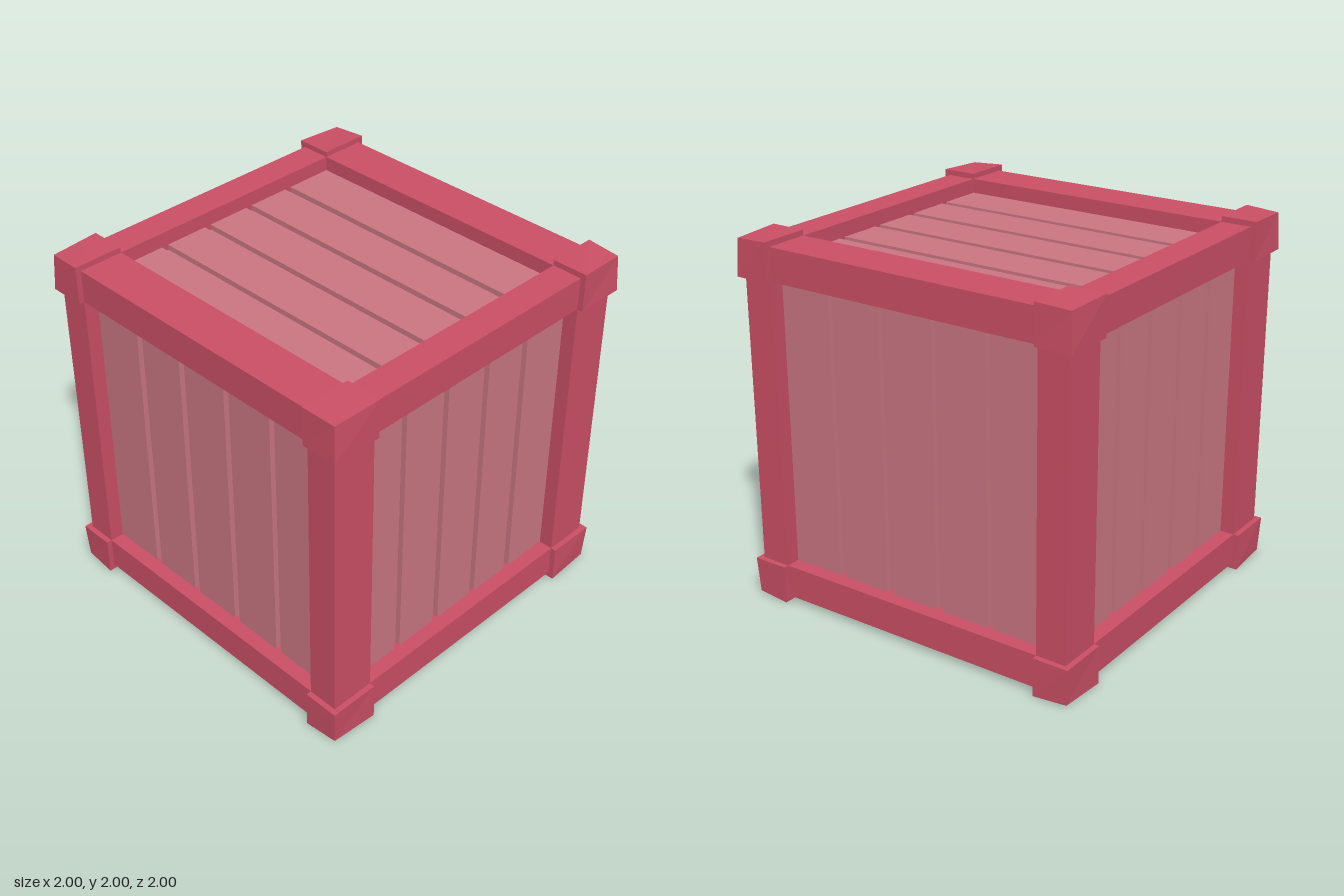
import * as THREE from 'three';

export function createModel() {
  const crate = new THREE.Group();
  crate.name = 'crate';
  const frameMat = new THREE.MeshStandardMaterial({ color: 0xcc5066, flatShading: true });
  const plankMat = new THREE.MeshStandardMaterial({ color: 0xcc7783, flatShading: true });

  // Everything is laid out around the crate's centre, then lifted onto the ground.
  const body = new THREE.Group();
  body.name = 'body';
  body.position.y = 1;
  crate.add(body);

  const boxBetween = (name, min, max, mat) => {
    const geo = new THREE.BoxGeometry(...max.map((v, i) => v - min[i]));
    geo.translate(...max.map((v, i) => (v + min[i]) / 2));
    const mesh = new THREE.Mesh(geo, mat);
    mesh.name = name;
    body.add(mesh);
    return mesh;
  };
  // Box covering inner..outer on the signed side of each axis
  const span = (sign, inner, outer) => (sign > 0 ? [inner, outer] : [-outer, -inner]);

  const inner = [0.72, 0.79, 0.80]; // inside edge of the frame on x, y, z
  const outer = 0.97;
  const floor = 0.86;  // bottom of the grooves
  const face = 0.89;   // plank surface

  // Inner box, seen at the bottom of the grooves
  boxBetween('innerBox', [-floor, -floor, -floor], [floor, floor, floor], plankMat);

  // Planks on all six sides: normal axis n, spread across axis a, running along axis l
  const sides = [
    { n: 2, a: 0, l: 1, name: 'frontBackPlank', grooves: [-0.44, -0.15, 0.14, 0.425] },
    { n: 0, a: 2, l: 1, name: 'sidePlank', grooves: [-0.476, -0.158, 0.164, 0.482] },
    { n: 1, a: 0, l: 2, name: 'topBottomPlank', grooves: [-0.44, -0.15, 0.14, 0.425] },
  ];
  for (const { n, a, l, name, grooves } of sides) {
    const cuts = [-0.84, ...grooves, 0.84];
    for (const s of [-1, 1]) {
      for (let i = 0; i < cuts.length - 1; i++) {
        const min = [], max = [];
        [min[n], max[n]] = span(s, floor - 0.01, face);
        min[a] = cuts[i] + 0.02;
        max[a] = cuts[i + 1] - 0.02;
        min[l] = -0.85;
        max[l] = 0.85;
        boxBetween(name, min, max, plankMat);
      }
    }
  }

  // Twelve frame beams, four along each axis
  const beamNames = ['crossRail', 'cornerPost', 'sideRail'];
  for (let l = 0; l < 3; l++) {
    const [p, q] = [0, 1, 2].filter((i) => i !== l);
    for (const sp of [-1, 1]) for (const sq of [-1, 1]) {
      const min = [], max = [];
      [min[p], max[p]] = span(sp, inner[p], outer);
      [min[q], max[q]] = span(sq, inner[q], outer);
      min[l] = -inner[l] - 0.02;
      max[l] = inner[l] + 0.02;
      boxBetween(beamNames[l], min, max, frameMat);
    }
  }

  // Eight corner caps, each with its outermost point pulled in a little
  for (const sx of [-1, 1]) for (const sy of [-1, 1]) for (const sz of [-1, 1]) {
    const spans = [sx, sy, sz].map((s, i) => span(s, inner[i], 1));
    const cap = boxBetween('cornerCap', spans.map((v) => v[0]), spans.map((v) => v[1]), frameMat);
    const pos = cap.geometry.attributes.position;
    for (let i = 0; i < pos.count; i++) {
      const v = [pos.getX(i), pos.getY(i), pos.getZ(i)];
      if (v.every((c) => Math.abs(c) > 0.98)) pos.setXYZ(i, ...v.map((c) => Math.sign(c) * 0.99));
    }
    cap.geometry.computeVertexNormals();
  }

  return crate;
}
